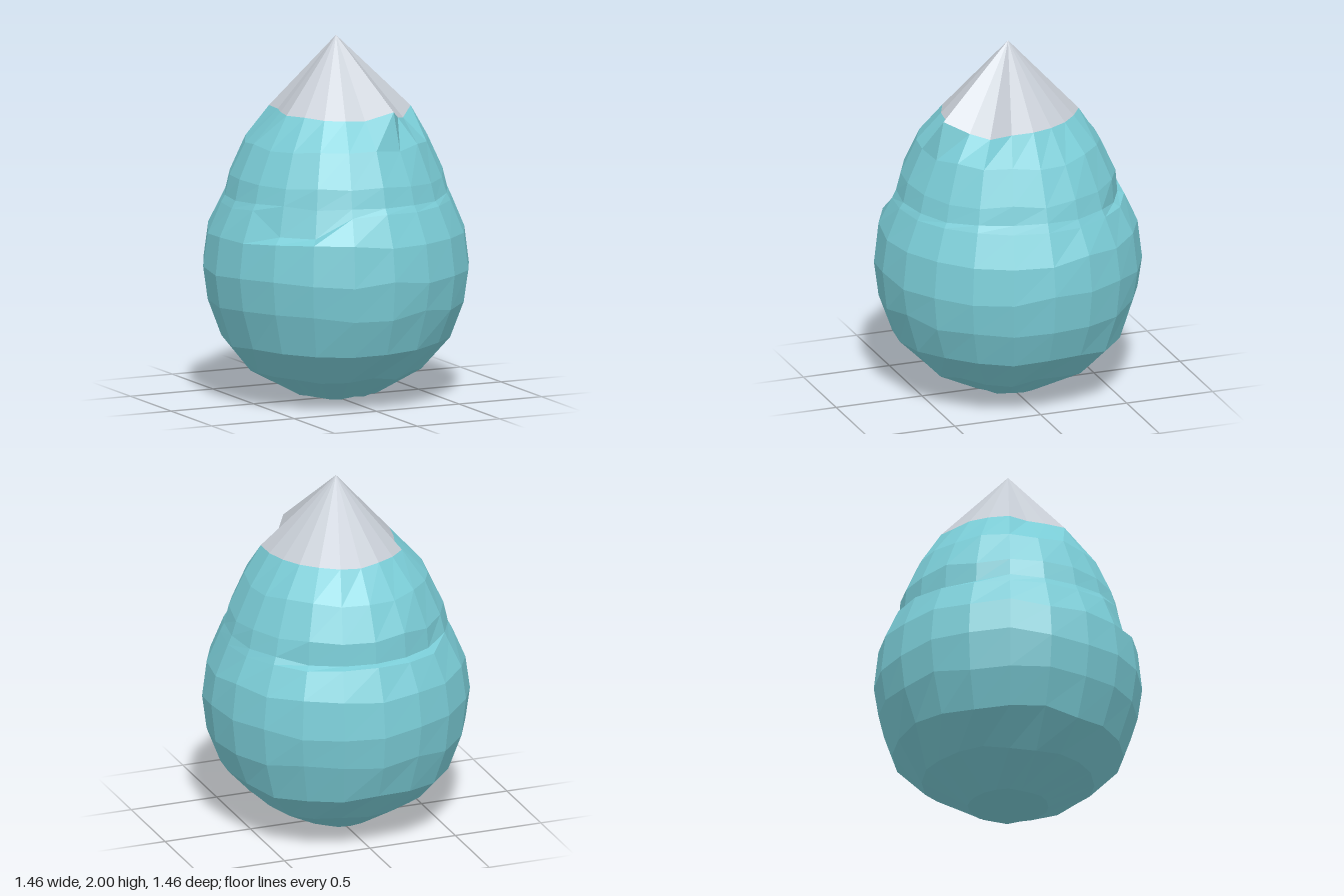
import * as THREE from 'three';

const SIDES = 20;

// Repeatable jitter in -1..1
const jitter = (i, k) => {
  const s = Math.sin(i * 12.99 + k * 78.23) * 43758.55;
  return 2 * (s - Math.floor(s)) - 1;
};

const ringPoint = (k, r, y) => {
  const a = (k / SIDES) * Math.PI * 2;
  return [Math.sin(a) * r, y, Math.cos(a) * r];
};

// Skin a stack of rings, listed from bottom to top
function skin(rings) {
  const pos = [];
  for (let j = 0; j < rings.length - 1; j++) {
    for (let k = 0; k < SIDES; k++) {
      const n = (k + 1) % SIDES;
      const [a, b, c, d] = [rings[j][k], rings[j][n], rings[j + 1][n], rings[j + 1][k]];
      if (j > 0) pos.push(...a, ...b, ...c);
      else pos.push(...a, ...c, ...d);
      if (j > 0) pos.push(...a, ...c, ...d);
    }
  }
  return pos;
}

function makeMesh(name, pos, material) {
  const geometry = new THREE.BufferGeometry();
  geometry.setAttribute('position', new THREE.Float32BufferAttribute(pos, 3));
  geometry.computeVertexNormals();
  const mesh = new THREE.Mesh(geometry, material);
  mesh.name = name;
  return mesh;
}

export function createModel() {
  const group = new THREE.Group();
  group.name = 'snowCappedEgg';

  const teal = new THREE.MeshStandardMaterial({ color: 0x7accd6, flatShading: true });
  teal.name = 'teal';
  const paleGrey = new THREE.MeshStandardMaterial({ color: 0xc6ccd4, flatShading: true });
  paleGrey.name = 'pale grey';

  // Body profile: radius, height, height jitter
  const profile = [
    [0, 0, 0], [0.22, 0.03, 0.006], [0.47, 0.17, 0.025], [0.63, 0.34, 0.02],
    [0.705, 0.55, 0.02], [0.73, 0.74, 0.025], [0.705, 0.94, 0.02],
    [0.632, 1.1, 0.01], [0.61, 1.14, 0.01], [0.585, 1.24, 0.015], [0.5, 1.43, 0.012],
  ];
  const rings = profile.map(([r, y, wobble], i) =>
    Array.from({ length: SIDES }, (_, k) => {
      let radius = r, height = y + wobble * jitter(i, k);
      // Narrow ledge across the back
      if (i === 8 && k >= 8 && k <= 12) { radius = 0.595; height = 1.115; }
      // Short ledge on the front right
      if (i === 7 && k >= 17 && k <= 18) { radius = 0.655; height = 0.985; }
      return ringPoint(k, radius, height);
    }));

  // Uneven rim shared by the body and the cap, with one jutting corner
  const rimRadius = [0.36, 0.45, 0.38, 0.37, 0.41, 0.39, 0.375, 0.37, 0.37, 0.385,
    0.37, 0.365, 0.365, 0.37, 0.32, 0.335, 0.375, 0.365, 0.37, 0.365];
  const rimHeight = { 0: 1.58, 1: 1.63, 2: 1.575, 3: 1.555, 10: 1.59, 18: 1.59, 19: 1.585 };
  const rim = rimRadius.map((r, k) => ringPoint(k, r, rimHeight[k] ?? 1.6));
  rings.push(rim);
  group.add(makeMesh('body', skin(rings), teal));

  // Cap: a fan of facets from the rim to the peak
  const cap = [];
  rim.forEach((p, k) => cap.push(...p, ...rim[(k + 1) % SIDES], 0, 2, 0));
  group.add(makeMesh('cap', cap, paleGrey));

  return group;
}
